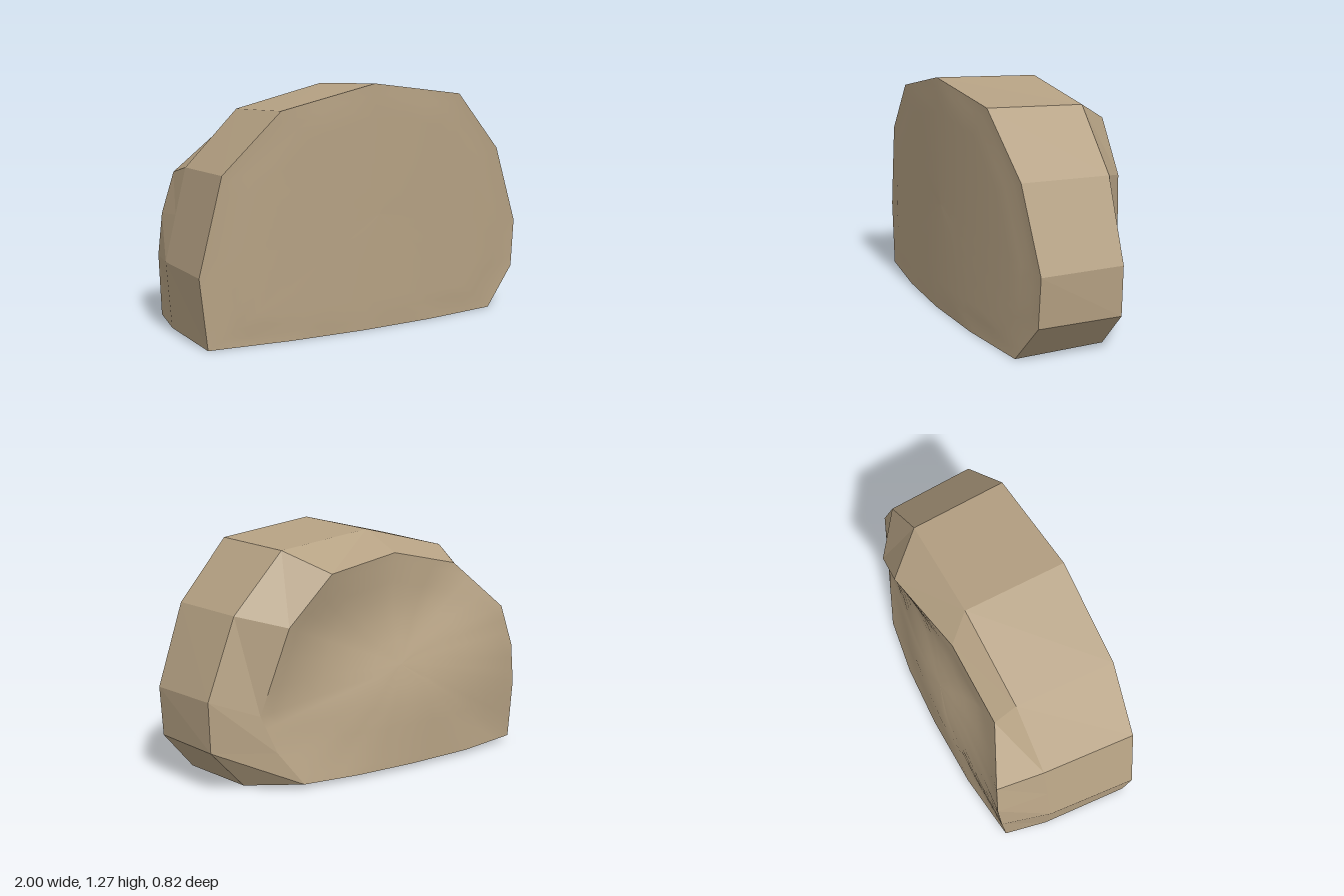
import * as THREE from 'three';

// Outline stations, anticlockwise from the front: [front x,y | middle x,y | back rim x,y,z]
const stations = [
  [-0.96, 0, -0.92, 0.01, -0.87, 0.03, -0.37],
  [-0.52, 0, -0.50, 0.01, -0.50, 0.02, -0.41],
  [-0.09, 0, -0.07, 0.01, -0.10, 0.02, -0.415],
  [0.35, 0, 0.36, 0.01, 0.25, 0.02, -0.395],
  [0.79, 0, 0.79, 0.01, 0.56, 0.02, -0.345],
  [0.98, 0.21, 0.98, 0.21, 0.68, 0.19, -0.285],
  [1.0, 0.47, 0.99, 0.47, 0.75, 0.38, -0.24],
  [0.84, 0.89, 0.83, 0.88, 0.62, 0.82, -0.31],
  [0.54, 1.2, 0.54, 1.18, 0.38, 1.07, -0.345],
  [-0.03, 1.27, -0.01, 1.25, -0.1, 1.13, -0.265],
  [-0.57, 1.15, -0.53, 1.13, -0.53, 1.04, -0.26],
  [-0.88, 0.85, -0.83, 0.84, -0.78, 0.79, -0.385],
  [-0.94, 0.605, -0.89, 0.6, -0.84, 0.57, -0.41],
  [-1.0, 0.36, -0.95, 0.36, -0.87, 0.35, -0.4],
];

const frontZ = (x) => 0.41 - 0.09 * (x + 0.08) ** 2;
// Shallow above, full below, tilting inwards to the model's left
const hollowZ = (x, y) =>
  -0.41 + 0.14 * THREE.MathUtils.smoothstep(y, 0.3, 0.9) + 0.1 * Math.max(x + 0.2, 0);

const frontRing = stations.map((s) => [s[0], s[1], frontZ(s[0])]);
const midRing = stations.map((s) => [s[2], s[3], -0.14]);
const backRing = stations.map((s) => [s[4], s[5], s[6]]);

// Joins rings of equal count, from front to back; flip reverses the facing
function loft(rings, flip) {
  const n = rings[0].length;
  const index = [];
  for (let r = 0; r + 1 < rings.length; r++) {
    for (let i = 0; i < n; i++) {
      const j = (i + 1) % n;
      const a = r * n + i, b = r * n + j, c = a + n, d = b + n;
      if (flip) index.push(a, b, c, b, d, c);
      else index.push(a, c, b, b, c, d);
    }
  }
  const geo = new THREE.BufferGeometry();
  geo.setAttribute('position', new THREE.Float32BufferAttribute(rings.flat(2), 3));
  geo.setIndex(index);
  geo.computeVertexNormals();
  return geo;
}

// Splits every edge of a ring into equal steps
function densify(ring, steps) {
  return ring.flatMap((p, i) => {
    const q = ring[(i + 1) % ring.length];
    return Array.from({ length: steps }, (_, k) => p.map((v, c) => v + ((q[c] - v) * k) / steps));
  });
}

// Shrinks a rim towards a centre while its depth blends into the surface rule
function capRings(rim, cx, cy, surface, blend) {
  return [1, 0.92, 0.84, 0.74, 0.6, 0.4, 0.2, 0].map((t) =>
    rim.map(([x0, y0, z0]) => {
      const x = cx + (x0 - cx) * t;
      const y = cy + (y0 - cy) * t;
      const w = Math.min((1 - t) / blend, 1);
      return [x, y, z0 + (surface(x, y) - z0) * w];
    })
  );
}

export function createModel() {
  const group = new THREE.Group();
  group.name = 'rockSlab';
  const color = 0xb5a183;
  const facet = new THREE.MeshStandardMaterial({ color, flatShading: true });
  const smooth = new THREE.MeshStandardMaterial({ color });

  const add = (name, geo, mat) => {
    const mesh = new THREE.Mesh(geo, mat);
    mesh.name = name;
    group.add(mesh);
  };

  // Faceted edge: straight band, then the bevel to the back rim
  add('edgeBand', loft([frontRing, midRing], false), facet);
  add('backBevel', loft([midRing, backRing], false), facet);

  // Gently bowed front face
  add('frontFace', loft(capRings(densify(frontRing, 3), 0, 0.6, frontZ, 0.16), true), smooth);

  // Scooped back face, easing in from the rim
  add('backHollow', loft(capRings(densify(backRing, 3), -0.08, 0.55, hollowZ, 0.7), false), smooth);
  return group;
}
